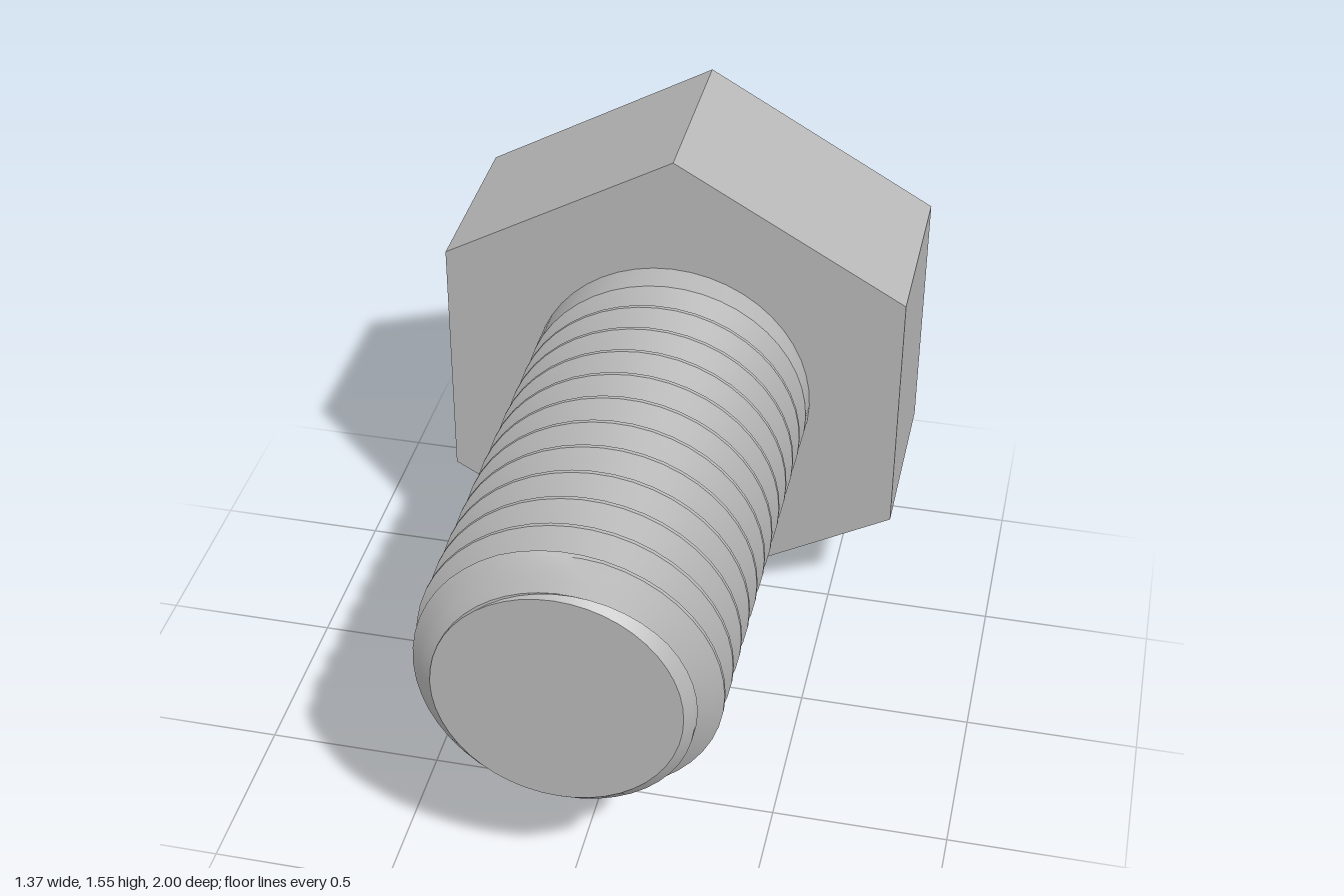
import * as THREE from 'three';
import { toCreasedNormals } from 'three/addons/utils/BufferGeometryUtils.js';

const AXIS_Y = 0.773;                 // height of the bolt axis
const HEAD_BACK = -1, HEAD_FRONT = -0.43, TIP = 1;
const MAJOR = 0.42, MINOR = 0.335;    // crest and root radius
const PITCH = 0.114;
const FIRST_ROOT = 0.857;             // z of the first full groove at the top
const LAST_TURN = 10.68;              // where the groove runs out
const SEGMENTS = 48;

// Radius of the threaded shaft at a clockwise turn fraction and depth z
function shaftRadius(turn, z) {
  const p = (FIRST_ROOT - z) / PITCH - turn;
  const k = Math.round(p);
  const depth = THREE.MathUtils.clamp((LAST_TURN - k - turn) / 0.06, 0, 1);
  const rise = Math.min(1, Math.abs(p - k) / 0.45);
  const thread = MAJOR - (MAJOR - MINOR) * depth * (1 - rise);
  return Math.min(thread, MINOR + (TIP - z));   // 45 degree tip chamfer
}

// Rows follow the helix, so crests and roots stay crisp
function threadGeometry() {
  const rows = [];
  for (let k = -3; k <= 12; k++) {
    for (const f of [0, 0.15, 0.3, 0.45, 0.55, 0.7, 0.85]) rows.push(k + f);
  }
  const positions = [], index = [], depths = [];
  const stride = SEGMENTS + 1;
  for (const s of rows) {
    for (let i = 0; i <= SEGMENTS; i++) {
      const turn = i / SEGMENTS, a = turn * Math.PI * 2;
      const z = THREE.MathUtils.clamp(FIRST_ROOT - PITCH * (turn + s), HEAD_FRONT, TIP);
      const r = shaftRadius(turn, z);
      positions.push(r * Math.sin(a), r * Math.cos(a), z);
      depths.push(z);
    }
  }
  // Skip triangles flattened onto either end
  const add = (a, b, c) => {
    if (depths[a] !== depths[b] || depths[b] !== depths[c]) index.push(a, b, c);
  };
  for (let j = 0; j < rows.length - 1; j++) {
    for (let i = 0; i < SEGMENTS; i++) {
      const a = j * stride + i, c = a + stride;
      add(a, a + 1, c);
      add(a + 1, c + 1, c);
    }
  }
  const geometry = new THREE.BufferGeometry();
  geometry.setAttribute('position', new THREE.Float32BufferAttribute(positions, 3));
  geometry.setIndex(index);
  geometry.computeVertexNormals();
  return toCreasedNormals(geometry, 0.5);
}

export function createModel() {
  const bolt = new THREE.Group();
  bolt.name = 'hexBolt';
  const steel = new THREE.MeshStandardMaterial({ color: 0xb8b8b8 });
  steel.name = 'steel grey';

  const addPart = (name, geometry, z) => {
    const mesh = new THREE.Mesh(geometry, steel);
    mesh.name = name;
    mesh.position.set(0, AXIS_Y, z);
    bolt.add(mesh);
  };

  // Hexagonal head, corner up, slightly widened
  const head = new THREE.CylinderGeometry(0.773, 0.773, HEAD_FRONT - HEAD_BACK, 6);
  head.rotateX(Math.PI / 2);
  head.scale(1.023, 1, 1);
  addPart('head', toCreasedNormals(head, 0.5), (HEAD_BACK + HEAD_FRONT) / 2);

  // Threaded shaft with plain collar and chamfered tip
  addPart('threadedShaft', threadGeometry(), 0);

  // Flat end of the shaft
  addPart('tipFace', new THREE.CircleGeometry(MINOR, SEGMENTS), TIP);

  return bolt;
}
